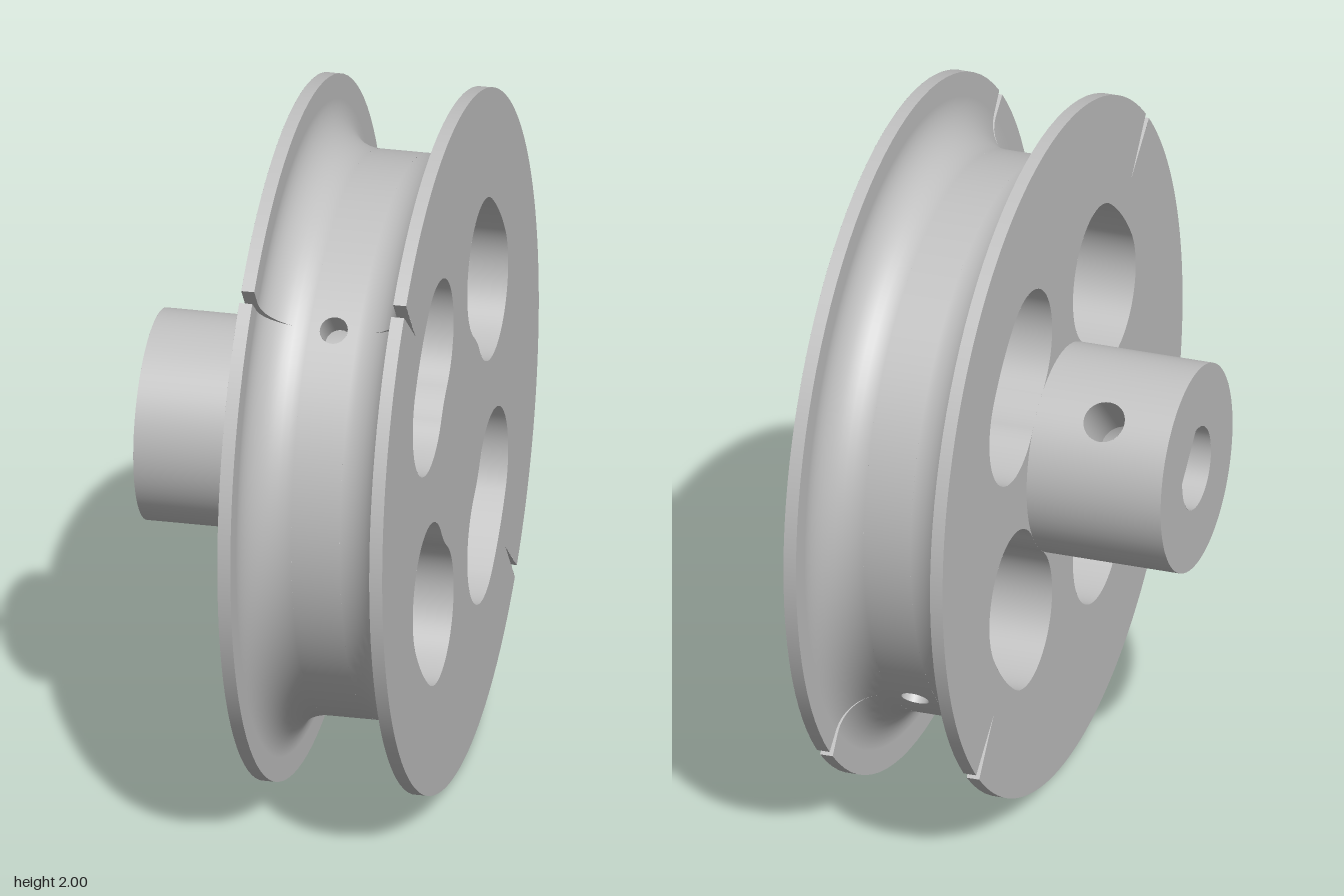
import * as THREE from 'three';
import { ParametricGeometry } from 'three/addons/geometries/ParametricGeometry.js';

const { cos, sin, sqrt, PI, max } = Math;
const lerp = THREE.MathUtils.lerp;
const rad = THREE.MathUtils.degToRad;
const clamp1 = (t) => Math.min(1, max(-1, t));

// The wheel is built around the local z axis and turned onto x at the end
const BACK = -0.0375, FRONT = 0.4375, GROOVE = 0.4, HUB_END = -0.4375;
const NOTCH = rad(135), SCREW = rad(45), SEG = 48;
const FILLET = 0.13, FLOOR = 0.8, DRILL = 0.04, SCREW_R = 0.06;
const BORE_R = 0.12, BORE_FLAT = 0.09;

const grey = new THREE.MeshStandardMaterial({ color: 0xc0c0c0, side: THREE.DoubleSide });
grey.name = 'grey metal';

function add(group, name, geometry) {
  const mesh = new THREE.Mesh(geometry, grey);
  mesh.name = name;
  group.add(mesh);
  return mesh;
}

const surface = (fn, nu, nv) =>
  new ParametricGeometry((u, v, p) => p.set(...fn(u, v)), nu, nv);

const arcPoint = (cx, cy, r) => (a, z) => [cx + r * cos(a), cy + r * sin(a), z];

// Rectangular piece of a surface fn(a, z), optionally with a round hole in its middle
function patch(fn, a0, a1, z0, z1, ha = 0, hz = 0) {
  if (!ha) return surface((u, v) => fn(lerp(a0, a1, u), lerp(z0, z1, v)), SEG, 1);
  const ca = (a0 + a1) / 2, cz = (z0 + z1) / 2;
  return surface((u, v) => {
    const f = 2 * PI * u + PI / 4;
    const a = lerp(ha * cos(f), clamp1(Math.SQRT2 * cos(f)) * (a1 - a0) / 2, v);
    const z = lerp(hz * sin(f), clamp1(Math.SQRT2 * sin(f)) * (z1 - z0) / 2, v);
    return fn(ca + a, cz + z);
  }, 64, 6);
}

// Wall of a drilled hole running radially from r0 to a cylinder of radius r1
function drillWall(angle, r0, r1, hr, zc) {
  return surface((u, v) => {
    const t = hr * cos(2 * PI * u);
    const r = lerp(r0, sqrt(r1 * r1 - t * t), v);
    return [r * cos(angle) - t * sin(angle), r * sin(angle) + t * cos(angle), zc + hr * sin(2 * PI * u)];
  }, 32, 1);
}

// Half the notch's angular width at a given radius
const notchHalf = (r) => 0.018 * max(0, (r - 0.81) / 0.19);

// Inner flank of a flange: straight, then a fillet down to the groove floor
function flank(v) {
  const k = v * 12, top = FLOOR + FILLET;
  if (k <= 2) return [0, lerp(1, top, k / 2)];
  const a = ((k - 2) / 10) * PI / 2;
  return [FILLET * (1 - cos(a)), top - FILLET * sin(a)];
}

// The four arcs around a kidney-shaped pocket: cx, cy, radius, start, end
function pocketArcs(mid) {
  const a = mid - rad(10), b = mid + rad(10);
  return [
    [0, 0, 0.7, a, b],
    [0.5 * cos(b), 0.5 * sin(b), 0.2, b, b + PI],
    [0, 0, 0.3, b, a],
    [0.5 * cos(a), 0.5 * sin(a), 0.2, a + PI, a + 2 * PI],
  ];
}
const pocketMids = [45, 135, 225, 315].map(rad);

function makeFaces(group) {
  const shape = new THREE.Shape();
  for (const a0 of [NOTCH, NOTCH + PI]) {
    shape.absarc(0, 0, 1, a0 + notchHalf(1), a0 + PI - notchHalf(1), false);
    shape.lineTo(0.81 * cos(a0 + PI), 0.81 * sin(a0 + PI));
  }
  for (const mid of pocketMids) {
    const hole = new THREE.Path();
    for (const [cx, cy, r, a, b] of pocketArcs(mid)) hole.absarc(cx, cy, r, a, b, b < a);
    shape.holes.push(hole);
  }
  add(group, 'outerFace', new THREE.ShapeGeometry(shape, SEG)).position.z = FRONT;
  const back = add(group, 'hubSideFace', new THREE.ShapeGeometry(shape, SEG).scale(1, 1, -1));
  // Reverse the triangles so this face looks away from the wheel
  const index = back.geometry.index.array;
  for (let i = 0; i < index.length; i += 3) [index[i], index[i + 1]] = [index[i + 1], index[i]];
  back.geometry.computeVertexNormals();
  back.position.z = BACK;
}

function makeRim(group) {
  for (const a0 of [NOTCH, NOTCH + PI]) {
    for (const front of [false, true]) {
      const face = front ? FRONT : BACK;
      const place = (z) => (front ? GROOVE - z : z);
      const angle = (r, u) => lerp(a0 + notchHalf(r), a0 + PI - notchHalf(r), u);
      add(group, 'flangeFlank', surface((u, v) => {
        const [z, r] = flank(v);
        return arcPoint(0, 0, r)(angle(r, u), place(z));
      }, SEG, 12));
      add(group, 'flangeEdge', surface((u, v) =>
        arcPoint(0, 0, 1)(angle(1, u), lerp(face, place(0), v)), SEG, 1));
      for (const end of [0, 1]) {
        add(group, 'notchWall', surface((u, v) => {
          const [z, r] = flank(v);
          return arcPoint(0, 0, r)(angle(r, end), lerp(face, place(z), u));
        }, 1, 12));
      }
    }
    // Groove floor with its cord hole
    const floor = arcPoint(0, 0, FLOOR), z0 = FILLET, z1 = GROOVE - FILLET;
    add(group, 'grooveFloor', patch(floor, a0 + 0.1, a0 + PI - 0.1, z0, z1));
    add(group, 'drilledFloor', patch(floor, a0 - 0.1, a0 + 0.1, z0, z1, DRILL / FLOOR, DRILL));
    add(group, 'cordHole', drillWall(a0, 0.7, FLOOR, DRILL, GROOVE / 2));
    add(group, 'crossHole', drillWall(a0, 0, 0.3, DRILL, GROOVE / 2));
  }
}

function makePockets(group) {
  pocketMids.forEach((mid, k) => {
    pocketArcs(mid).forEach(([cx, cy, r, a, b], i) => {
      const drilled = k % 2 === 1 && i % 2 === 0;
      add(group, 'pocketWall', patch(arcPoint(cx, cy, r), a, b, BACK, FRONT, drilled ? DRILL / r : 0, DRILL));
    });
  });
}

function makeHub(group) {
  const side = arcPoint(0, 0, 0.3), q = PI / 4;
  add(group, 'hubSide', patch(side, SCREW + q, SCREW + 2 * PI - q, HUB_END, BACK));
  add(group, 'drilledHubSide', patch(side, SCREW - q, SCREW + q, HUB_END, BACK, SCREW_R / 0.3, SCREW_R));
  add(group, 'screwHole', drillWall(SCREW, BORE_FLAT, 0.3, SCREW_R, (HUB_END + BACK) / 2));

  // D-shaped shaft bore, flat towards the screw
  const alpha = Math.acos(BORE_FLAT / BORE_R), half = BORE_R * sin(alpha);
  const from = SCREW + alpha, to = SCREW + 2 * PI - alpha;
  add(group, 'boreWall', patch(arcPoint(0, 0, BORE_R), from, to, HUB_END, BACK));
  const flat = (t, z) => [
    BORE_FLAT * cos(SCREW) - t * sin(SCREW), BORE_FLAT * sin(SCREW) + t * cos(SCREW), z];
  add(group, 'boreFlat', patch(flat, -half, half, HUB_END, BACK, SCREW_R, SCREW_R));

  const end = new THREE.Shape().absarc(0, 0, 0.3, 0, 2 * PI, false);
  end.holes.push(new THREE.Path().absarc(0, 0, BORE_R, from, to, false).closePath());
  const cap = new THREE.ShapeGeometry(end, SEG);
  cap.rotateX(PI).rotateZ(PI / 2); // look outwards, keeping the flat at the screw
  add(group, 'hubEnd', cap).position.z = HUB_END;
}

export function createModel() {
  const model = new THREE.Group();
  model.name = 'pulleyWheel';
  const parts = { faces: makeFaces, rim: makeRim, pockets: makePockets, hub: makeHub };
  for (const [name, make] of Object.entries(parts)) {
    const group = new THREE.Group();
    group.name = name;
    group.rotation.y = PI / 2;
    group.position.y = 1;
    make(group);
    model.add(group);
  }
  return model;
}
